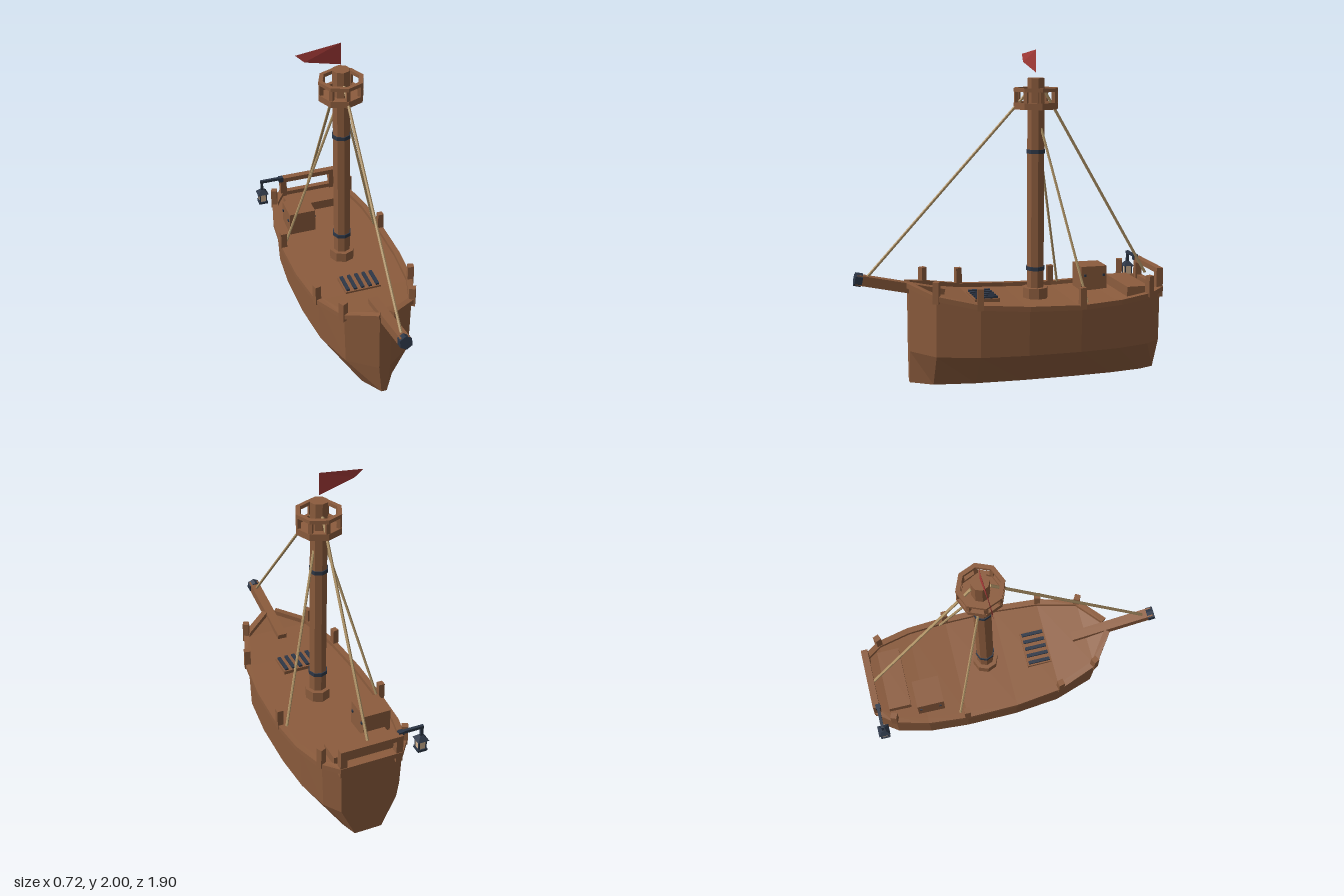
import * as THREE from 'three';

const mat = (name, color) => Object.assign(new THREE.MeshStandardMaterial({ color }), { name });

export function createModel() {
  const ship = new THREE.Group();
  ship.name = 'ship';
  ship.position.x = 0.005; // balances the lantern overhang
  const wood = mat('wood', 0x8c5c3d);
  const iron = mat('iron', 0x2d3747);
  const rope = mat('rope', 0xb5986a);
  const cloth = mat('red cloth', 0xa83c39);
  cloth.side = THREE.DoubleSide;
  const glass = mat('lantern glass', 0xd8b896);

  // Faceted mesh helper
  function add(name, geo, material, x = 0, y = 0, z = 0, parent = ship) {
    const g = geo.index ? geo.toNonIndexed() : geo;
    g.computeVertexNormals();
    const mesh = new THREE.Mesh(g, material);
    mesh.name = name;
    mesh.position.set(x, y, z);
    parent.add(mesh);
    return mesh;
  }
  const box = (name, w, h, d, m, x, y, z, parent) =>
    add(name, new THREE.BoxGeometry(w, h, d), m, x, y, z, parent);
  const cyl = (name, r, h, m, x, y, z, parent, sides = 8) =>
    add(name, new THREE.CylinderGeometry(r, r, h, sides), m, x, y, z, parent);

  // Solid skin through a row of matching cross-sections
  function loft(rings) {
    const v = [], n = rings[0].length, last = rings[rings.length - 1];
    const tri = (a, b, c) => v.push(...a, ...b, ...c);
    for (let i = 0; i < rings.length - 1; i++) {
      for (let j = 0; j < n; j++) {
        const k = (j + 1) % n;
        tri(rings[i][j], rings[i][k], rings[i + 1][k]);
        tri(rings[i][j], rings[i + 1][k], rings[i + 1][j]);
      }
    }
    for (let j = 1; j < n - 1; j++) {
      tri(rings[0][0], rings[0][j + 1], rings[0][j]);
      tri(last[0], last[j], last[j + 1]);
    }
    const g = new THREE.BufferGeometry();
    g.setAttribute('position', new THREE.Float32BufferAttribute(v, 3));
    return g;
  }

  // Straight bar between two points
  function bar(name, a, b, r, m) {
    const p = new THREE.Vector3(...a), q = new THREE.Vector3(...b);
    const dir = q.clone().sub(p);
    const mesh = add(name, new THREE.CylinderGeometry(r, r, dir.length(), 6), m);
    mesh.position.copy(p).add(q).multiplyScalar(0.5);
    mesh.quaternion.setFromUnitVectors(new THREE.Vector3(0, 1, 0), dir.normalize());
    return mesh;
  }

  // Hull stations from stern to bow: z, half width, deck height
  const stations = [
    [-0.93, 0.185, 0.52], [-0.83, 0.26, 0.503], [-0.625, 0.312, 0.485], [-0.375, 0.332, 0.473],
    [-0.05, 0.33, 0.483], [0.24, 0.3, 0.502], [0.49, 0.215, 0.553], [0.62, 0.037, 0.6],
  ];
  add('hull', loft(stations.map(([z, w, t]) => {
    const b = w * 0.47, m = w * 0.955;
    return [[-b, 0, z], [b, 0, z], [m, 0.2, z], [w, t, z], [-w, t, z], [-m, 0.2, z]];
  })), wood);

  // Gunwale rail, mitred around the deck edge and open at the bow
  const half = stations.slice().reverse().map(([z, w, t]) => [w, t, z]);
  const path = [...half, ...half.slice().reverse().map(([x, y, z]) => [-x, y, z])];
  const rail = path.map(([x, y, z], i) => {
    const seg = (a, b) => new THREE.Vector2(b[0] - a[0], b[2] - a[2]).normalize();
    const before = i > 0 ? seg(path[i - 1], path[i]) : seg(path[0], path[1]);
    const after = i < path.length - 1 ? seg(path[i], path[i + 1]) : before;
    const t = before.clone().add(after).normalize();
    const k = 1 / t.dot(after);
    const at = (d, h) => [x - t.y * d * k, y + h, z + t.x * d * k];
    return [at(0.02, -0.006), at(-0.017, -0.006), at(-0.017, 0.025), at(0.02, 0.025)];
  });
  add('rail', loft(rail), wood);

  // Rail posts
  for (const s of [-1, 1]) {
    for (const [x, z, y, turn] of [
      [0.22, 0.49, 0.595, 0.5], [0.305, 0.245, 0.56, 0.2],
      [0.335, -0.375, 0.537, 0], [0.265, -0.83, 0.568, -0.4],
    ]) {
      box('railPost', 0.038, 0.13, 0.038, wood, s * x, y, z).rotation.y = -s * turn;
    }
    box('sternPost', 0.042, 0.18, 0.042, wood, s * 0.175, 0.57, -0.925);
  }
  box('sternTopBar', 0.392, 0.032, 0.042, wood, 0, 0.645, -0.925);

  // Deck fittings
  box('sternBench', 0.39, 0.065, 0.14, wood, 0, 0.521, -0.782);
  const chest = new THREE.Group();
  chest.name = 'chest';
  ship.add(chest);
  box('chestBody', 0.175, 0.16, 0.17, wood, -0.163, 0.554, -0.59, chest);
  for (const x of [-0.252, -0.074]) {
    for (const z of [-0.655, -0.53]) box('chestStud', 0.01, 0.014, 0.014, iron, x, 0.577, z, chest);
  }
  box('hatchFrame', 0.232, 0.04, 0.156, wood, 0, 0.494, 0.157);
  for (let i = -2; i <= 2; i++) box('hatchBar', 0.021, 0.014, 0.138, iron, i * 0.048, 0.519, 0.157);

  // Mast
  const mz = -0.178;
  cyl('mastCollar', 0.08, 0.075, wood, 0, 0.508, mz);
  cyl('mast', 0.054, 1.35, wood, 0, 1.155, mz);
  for (const y of [0.665, 1.388]) cyl('mastBand', 0.06, 0.024, iron, 0, y, mz);

  // Lookout basket
  const nest = new THREE.Group();
  nest.name = 'lookout';
  nest.position.z = mz;
  ship.add(nest);
  const ring = (name, inner, outer, y0, y1) => add(name, new THREE.LatheGeometry(
    [[inner, y0], [outer, y0], [outer, y1], [inner, y1], [inner, y0]].map((p) => new THREE.Vector2(...p)), 8),
  wood, 0, 0, 0, nest);
  cyl('lookoutFloor', 0.125, 0.02, wood, 0, 1.655, 0, nest);
  ring('lookoutWall', 0.115, 0.14, 1.645, 1.685);
  ring('lookoutRail', 0.113, 0.14, 1.75, 1.772);
  for (let i = 0; i < 8; i++) {
    const a = i * Math.PI / 4;
    box('lookoutPost', 0.023, 0.075, 0.023, wood, Math.sin(a) * 0.124, 1.718, Math.cos(a) * 0.124, nest)
      .rotation.y = a;
  }

  // Bowsprit with iron cap
  const sprit = new THREE.Group();
  sprit.name = 'bowsprit';
  sprit.position.set(0, 0.598, 0.667);
  sprit.rotation.x = -0.215;
  ship.add(sprit);
  box('bowspritSpar', 0.06, 0.06, 0.54, wood, 0, 0, 0, sprit);
  cyl('bowspritCap', 0.042, 0.045, iron, 0, 0, 0.258, sprit, 6).rotation.set(Math.PI / 2, 0, 0);

  // Rigging
  bar('foreStay', [0, 0.67, 0.86], [0, 1.745, -0.125], 0.009, rope);
  bar('backStay', [0, 0.595, -0.905], [0, 1.755, -0.23], 0.009, rope);
  for (const s of [-1, 1]) bar('shroud', [s * 0.305, 0.5, -0.415], [s * 0.04, 1.53, -0.2], 0.008, rope);

  // Pennant, gently bowed
  const flag = new THREE.BufferGeometry();
  flag.setAttribute('position', new THREE.Float32BufferAttribute([
    0, 1.862, -0.178, 0, 2, -0.178, -0.225, 1.92, -0.16,
    0, 2, -0.178, -0.278, 1.968, -0.168, -0.225, 1.92, -0.16,
  ], 3));
  add('flag', flag, cloth);

  // Hanging stern lantern
  const lantern = new THREE.Group();
  lantern.name = 'lantern';
  lantern.position.set(-0.328, 0, -0.913);
  ship.add(lantern);
  box('lanternBracket', 0.03, 0.035, 0.03, iron, 0.135, 0.655, 0, lantern);
  box('lanternArm', 0.15, 0.018, 0.018, iron, 0.065, 0.662, 0, lantern);
  box('lanternHook', 0.016, 0.075, 0.016, iron, 0, 0.633, 0, lantern);
  add('lanternRoof', new THREE.CylinderGeometry(0.016, 0.051, 0.028, 4, 1).rotateY(Math.PI / 4),
    iron, 0, 0.587, 0, lantern);
  box('lanternGlass', 0.046, 0.062, 0.046, glass, 0, 0.543, 0, lantern);
  for (const x of [-1, 1]) {
    for (const z of [-1, 1]) box('lanternBar', 0.008, 0.062, 0.008, iron, x * 0.022, 0.543, z * 0.022, lantern);
  }
  box('lanternBase', 0.06, 0.016, 0.06, iron, 0, 0.506, 0, lantern);

  return ship;
}
